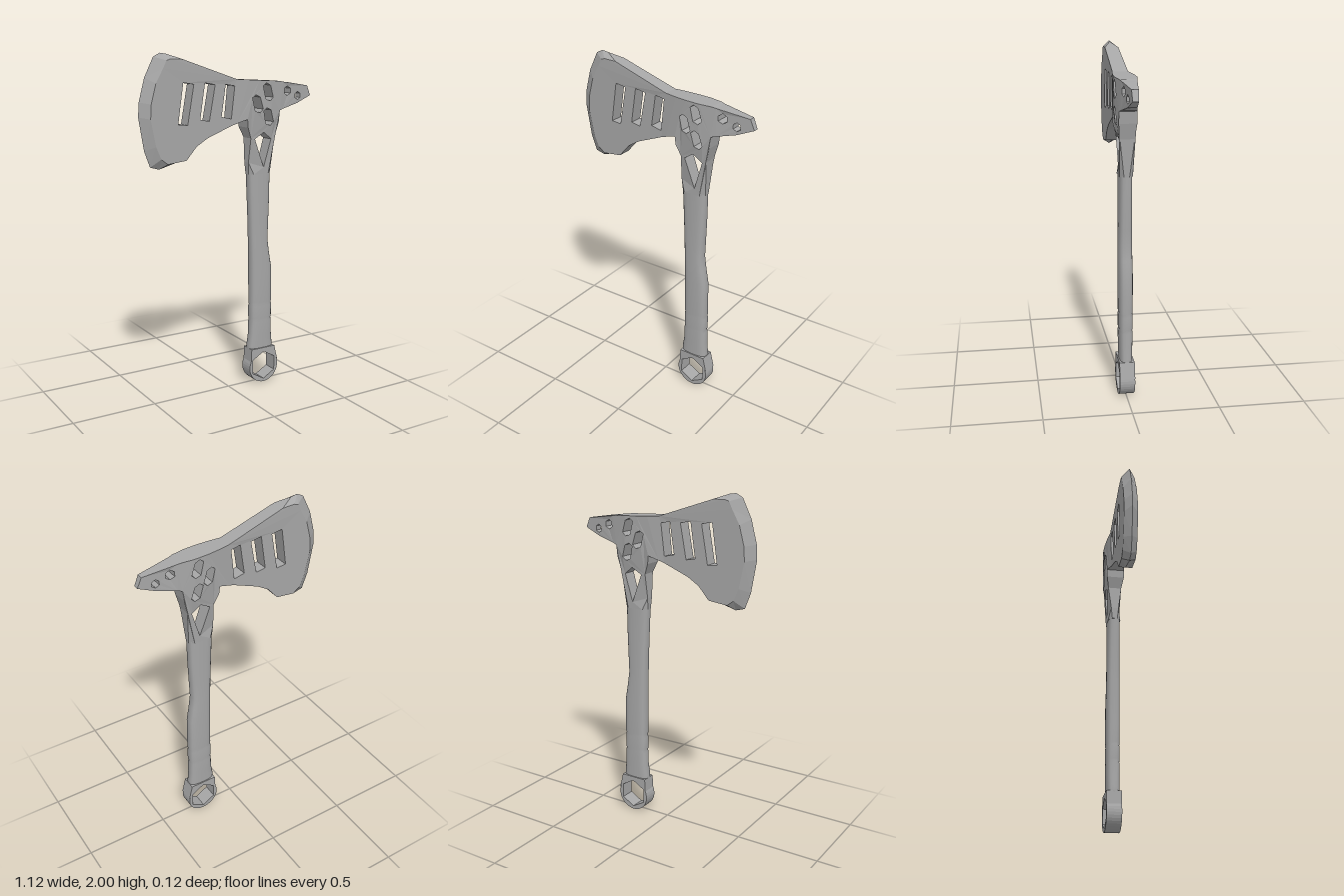
import * as THREE from 'three';

const steel = new THREE.MeshStandardMaterial({ color: 0xa6a6a6 });
steel.name = 'grey steel';

const V = (pts) => pts.map(([x, y]) => new THREE.Vector2(x, y));

// Piecewise linear lookup through [position, value] keys
function lerpKeys(keys, t) {
  if (t <= keys[0][0]) return keys[0][1];
  for (let i = 1; i < keys.length; i++) {
    const [a, va] = keys[i - 1], [b, vb] = keys[i];
    if (t <= b) return va + (vb - va) * (t - a) / (b - a);
  }
  return keys[keys.length - 1][1];
}

// Half thickness of the head: swollen hub, thin spike, neck melting into the handle
const alongX = [[0, .04], [.1, .055], [.17, .061], [.25, .061], [.33, .048], [.38, .034], [.56, .016]];
const alongY = [[1.3, .038], [1.5, .041], [1.6, .056], [1.66, .062]];
function halfThickness(x, y) {
  let h = lerpKeys(alongX, x);
  if (x > .05 && x < .34) h = Math.min(h, lerpKeys(alongY, y));
  const low = THREE.MathUtils.clamp((1.54 - y) / .24, 0, 1);
  if (Math.abs(x - .202) > .068 && x > .05) h *= 1 - .6 * low;
  return h;
}

// Flat plate with holes whose two faces follow a thickness rule
function plate(name, outline, holes, half) {
  const shape = new THREE.Shape(V(outline));
  shape.holes = holes.map((h) => new THREE.Path(V(h)));
  const geo = new THREE.ExtrudeGeometry(shape, { depth: 1, bevelEnabled: false });
  const p = geo.attributes.position;
  for (let i = 0; i < p.count; i++) {
    p.setZ(i, (p.getZ(i) > .5 ? 1 : -1) * half(p.getX(i), p.getY(i)));
  }
  geo.computeVertexNormals();
  const mesh = new THREE.Mesh(geo, steel);
  mesh.name = name;
  return mesh;
}

// Hexagon with a corner pointing up
function hexagon(cx, cy, r) {
  return Array.from({ length: 6 }, (_, i) => {
    const a = Math.PI / 2 + i * Math.PI / 3;
    return [cx + r * Math.cos(a), cy + r * Math.sin(a)];
  });
}

// Long leaning six-sided hole in the hub
function longHole(cx, cy) {
  return [[-.034, .034], [-.012, .05], [.016, .037], [.037, -.032], [.016, -.053], [-.016, -.042]]
    .map(([x, y]) => [cx + x, cy + y]);
}

// Cutting edge and the line where its grind begins, top to bottom
const edge = [[-.31, 1.965], [-.39, 1.994], [-.43, 2], [-.47, 1.98], [-.525, 1.87], [-.56, 1.74],
  [-.565, 1.66], [-.534, 1.476], [-.5, 1.385], [-.445, 1.37], [-.295, 1.413]];
const grind = [[-.31, 1.965], [-.385, 1.968], [-.41, 1.96], [-.43, 1.92], [-.475, 1.84], [-.505, 1.73],
  [-.51, 1.65], [-.48, 1.5], [-.45, 1.43], [-.41, 1.4], [-.295, 1.413]];

function cuttingEdge() {
  const pos = [];
  for (const s of [1, -1]) {
    for (let i = 0; i < edge.length - 1; i++) {
      const a = [...grind[i], s * .04], b = [...edge[i], 0];
      const c = [...edge[i + 1], 0], d = [...grind[i + 1], s * .04];
      const tris = s > 0 ? [a, b, c, a, c, d] : [a, c, b, a, d, c];
      pos.push(...tris.flat());
    }
  }
  const geo = new THREE.BufferGeometry();
  geo.setAttribute('position', new THREE.Float32BufferAttribute(pos, 3));
  geo.computeVertexNormals();
  const mesh = new THREE.Mesh(geo, steel);
  mesh.name = 'cuttingEdge';
  return mesh;
}

// Handle lofted through rounded sections: [y, left x, right x, half depth]
function handle() {
  const rows = [[.2, .14, .305, .038], [.24, .137, .304, .038], [.31, .148, .297, .039]];
  for (const y of [.4, .5]) {
    rows.push([y - .012, .149, .296, .04], [y, .153, .292, .038], [y + .012, .15, .296, .04]);
  }
  rows.push([.62, .149, .294, .041], [.73, .148, .292, .041], [.82, .146, .276, .04], [.9, .144, .265, .039],
    [1, .141, .269, .038], [1.15, .134, .274, .038], [1.31, .126, .276, .038]);
  const n = 20, pos = [], idx = [];
  const soft = (v, e) => Math.sign(v) * Math.pow(Math.abs(v), e);
  rows.forEach(([y, l, r, hz], k) => {
    for (let j = 0; j < n; j++) {
      const a = j / n * Math.PI * 2;
      pos.push((l + r) / 2 + (r - l) / 2 * soft(Math.cos(a), .75), y, hz * soft(Math.sin(a), .65));
      if (k === 0) continue;
      const j2 = (j + 1) % n, lo = (k - 1) * n, hi = k * n;
      idx.push(lo + j, hi + j, lo + j2, lo + j2, hi + j, hi + j2);
    }
  });
  const geo = new THREE.BufferGeometry();
  geo.setAttribute('position', new THREE.Float32BufferAttribute(pos, 3));
  geo.setIndex(idx);
  geo.computeVertexNormals();
  const mesh = new THREE.Mesh(geo, steel);
  mesh.name = 'handle';
  return mesh;
}

export function createModel() {
  const group = new THREE.Group();
  group.name = 'axe';

  // Blade with three slanted slots
  group.add(plate('blade',
    [...grind, [-.23, 1.487], [-.16, 1.53], [0, 1.593], [.03, 1.603], [.03, 1.852]],
    [
      [[-.31, 1.841], [-.245, 1.83], [-.285, 1.608], [-.344, 1.614]],
      [[-.175, 1.836], [-.11, 1.825], [-.148, 1.624], [-.206, 1.635]],
      [[-.042, 1.825], [.016, 1.815], [-.005, 1.63], [-.069, 1.645]],
    ], halfThickness));
  group.add(cuttingEdge());

  // Hub and neck with three long holes and a pointed window
  group.add(plate('hub',
    [[.03, 1.852], [.03, 1.603], [.095, 1.624], [.1, 1.577], [.127, 1.513], [.122, 1.37], [.126, 1.3],
      [.15, 1.3], [.2, 1.3], [.25, 1.3], [.276, 1.3], [.291, 1.513], [.312, 1.6], [.32, 1.667],
      [.345, 1.675], [.345, 1.831], [.32, 1.836], [.25, 1.84], [.17, 1.844], [.1, 1.848]],
    [longHole(.23, 1.778), longHole(.16, 1.712), longHole(.235, 1.636),
      [[.153, 1.508], [.212, 1.545], [.265, 1.503], [.217, 1.339]]],
    halfThickness));

  // Tapered rear spike with two hexagonal holes
  group.add(plate('spike',
    [[.345, 1.831], [.345, 1.675], [.38, 1.683], [.46, 1.704], [.56, 1.746], [.535, 1.804], [.38, 1.828]],
    [hexagon(.381, 1.778, .028), hexagon(.462, 1.747, .024)],
    halfThickness));

  group.add(handle());

  // Pommel ring with a hexagonal opening
  const ring = [[.305, .22], [.14, .22]];
  for (let i = 0; i <= 24; i++) {
    const a = THREE.MathUtils.degToRad(155 + i * 230 / 24);
    ring.push([.227 + .1 * Math.cos(a), .1 + .1 * Math.sin(a)]);
  }
  ring.push([.328, .125]);
  group.add(plate('pommelRing', ring, [hexagon(.227, .107, .088)], () => .044));

  return group;
}
